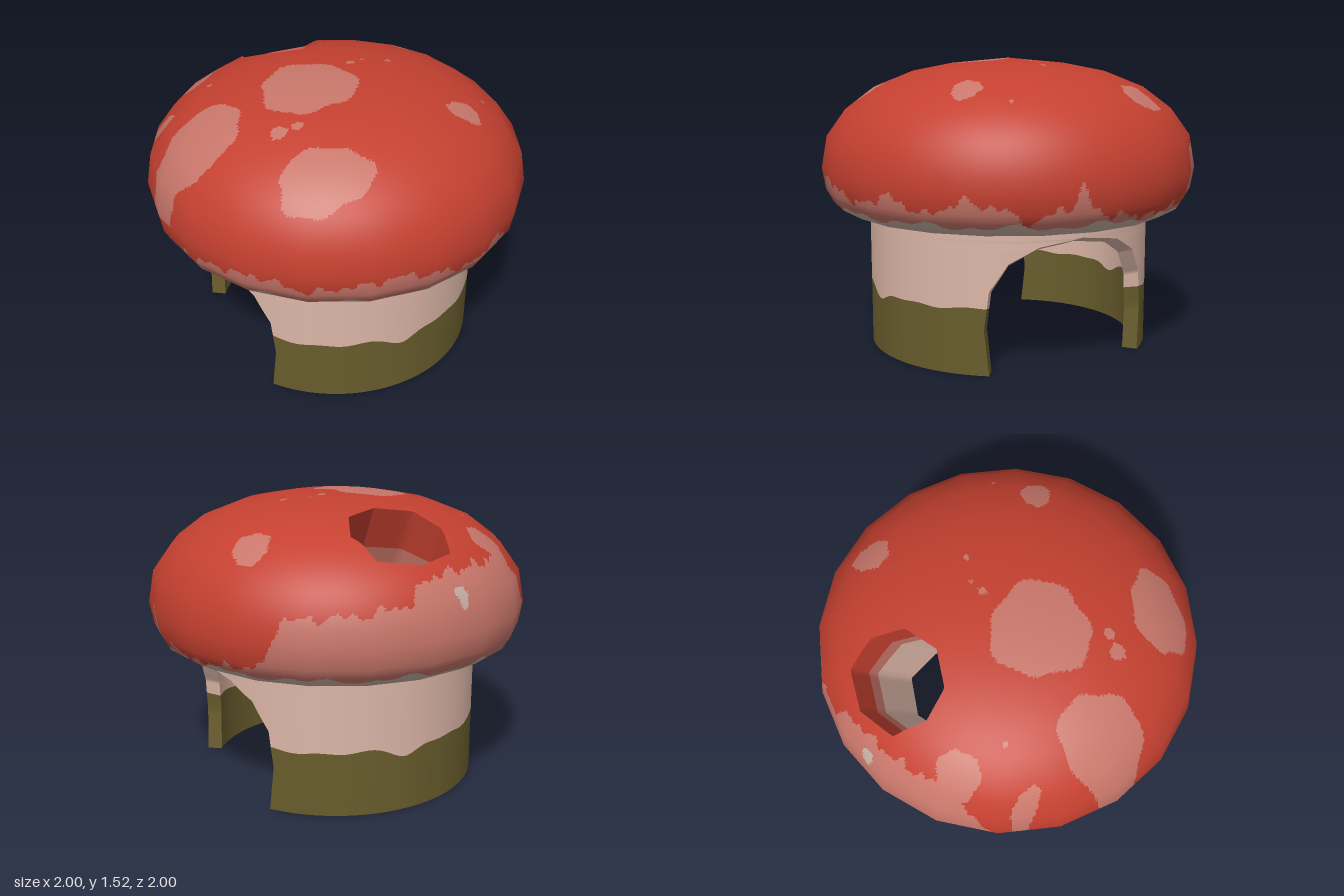
import * as THREE from 'three';

const mat = (name, color, side = THREE.FrontSide) => {
  const m = new THREE.MeshStandardMaterial({ color, side });
  m.name = name;
  return m;
};
const red = mat('cap red', 0xc44030, THREE.DoubleSide);
const pink = mat('spot pink', 0xc8766a, THREE.DoubleSide);
const tan = mat('stem tan', 0xdcb6a7, THREE.DoubleSide);
const olive = mat('moss olive', 0x685c2c, THREE.DoubleSide);
const lip = mat('gill beige', 0xc6b0a2, THREE.DoubleSide);

const SIDES = 20, STEP = (Math.PI * 2) / SIDES;
const DEG = Math.PI / 180;

// Piecewise linear lookup in a list of [key, value]
function lerpTable(t, k) {
  if (k <= t[0][0]) return t[0][1];
  for (let i = 1; i < t.length; i++) {
    if (k <= t[i][0]) {
      const f = (k - t[i - 1][0]) / (t[i][0] - t[i - 1][0]);
      return t[i - 1][1] + f * (t[i][1] - t[i - 1][1]);
    }
  }
  return t[t.length - 1][1];
}

// Sheet from a rule (s, t in 0..1) => [x, y, z]
function sheet(name, material, nu, nv, rule) {
  const pos = [], idx = [];
  for (let j = 0; j <= nv; j++) for (let i = 0; i <= nu; i++) pos.push(...rule(i / nu, j / nv));
  for (let j = 0; j < nv; j++) for (let i = 0; i < nu; i++) {
    const a = j * (nu + 1) + i, b = a + 1, c = a + nu + 1, d = c + 1;
    idx.push(a, b, d, a, d, c);
  }
  const g = new THREE.BufferGeometry();
  g.setAttribute('position', new THREE.Float32BufferAttribute(pos, 3));
  g.setIndex(idx);
  g.computeVertexNormals();
  const m = new THREE.Mesh(g, material);
  m.name = name;
  return m;
}

// ---- cap outline [radius, height] ----
const PROFILE = [[0.85, 0.715], [0.94, 0.765], [0.98, 0.835], [1, 0.95], [0.97, 1.118],
  [0.87, 1.257], [0.72, 1.37], [0.52, 1.45], [0.305, 1.492], [0, 1.52]];
const NORMALS = PROFILE.map((p, i) => {
  const a = PROFILE[Math.max(i - 1, 0)], b = PROFILE[Math.min(i + 1, PROFILE.length - 1)];
  const l = Math.hypot(b[0] - a[0], b[1] - a[1]);
  return i === PROFILE.length - 1 ? [0, 1] : [(b[1] - a[1]) / l, (a[0] - b[0]) / l];
});
// How far a flat side lies inside the circle at angle a
const facet = a => {
  const d = ((a % STEP) + STEP) % STEP - STEP / 2;
  return Math.cos(STEP / 2) / Math.cos(d);
};
const TOP = PROFILE.slice(3).reverse();
const capHeight = (x, z) => lerpTable(TOP, Math.hypot(x, z) / facet(Math.atan2(x, z)));

// ---- chimney hole, seen from above ----
const HOLE_Z = -0.62;
const HOLE = [[0, -0.4], [0.18, -0.47], [0.25, -0.62], [0.2, -0.785], [0, -0.85],
  [-0.2, -0.785], [-0.25, -0.62], [-0.18, -0.47]];
function holeRadius(a) {
  const dx = Math.sin(a), dz = Math.cos(a);
  for (let i = 0; i < HOLE.length; i++) {
    const p = HOLE[i], q = HOLE[(i + 1) % HOLE.length];
    const px = p[0], pz = p[1] - HOLE_Z, ex = q[0] - px, ez = q[1] - p[1];
    const den = dx * ez - dz * ex;
    const r = (px * ez - pz * ex) / den, s = (px * dz - pz * dx) / den;
    if (r > 0 && s >= -1e-6 && s <= 1 + 1e-6) return r;
  }
  return 0.24;
}
const holePoint = a => [Math.sin(a) * holeRadius(a), HOLE_Z + Math.cos(a) * holeRadius(a)];
const holeFloor = z => -0.58 + (z + 0.85) * 1.24;

// ---- cap paint rules ----
// Upper limit of the pale rim band: [degrees from the front, height]
const BAND = [[-90, 0.8], [-60, 0.88], [-50, 0.9], [-35, 0.85], [-12, 0.92], [0, 0.89], [12, 0.83],
  [27, 0.9], [37, 0.82], [50, 0.9], [60, 0.86], [67, 0.78], [73, 0.84], [79, 0.87], [81, 0.98],
  [84, 0.87], [88, 0.82], [107, 0.78], [120, 0.8], [132, 0.83], [137, 1.06], [160, 1.09], [172, 1.12],
  [180, 1.22], [200, 1.24], [219, 1.23], [228, 1.08], [236, 0.82], [250, 0.8], [270, 0.8]];
// Spots from above: x, z, half width, half depth, turn
const SPOTS = [[-0.19, 0.06, 0.24, 0.24, 0], [-0.39, 0.64, 0.22, 0.14, 0.3], [-0.53, -0.63, 0.11, 0.105, 0],
  [-0.815, -0.43, 0.05, 0.1, -0.4], [-0.78, 0.03, 0.23, 0.2, 0.1], [0.655, -0.39, 0.085, 0.1, 0],
  [0.465, 0.48, 0.085, 0.075, 0.6], [-0.47, 0.32, 0.04, 0.04, 0], [-0.38, 0.335, 0.028, 0.025, 0],
  [0.12, -0.065, 0.022, 0.02, 0], [0.19, -0.08, 0.012, 0.012, 0], [0.32, -0.03, 0.014, 0.014, 0],
  [-0.55, -0.37, 0.014, 0.014, 0], [0.67, 0.35, 0.012, 0.012, 0]];
function capColour(x, y, z) {
  const a = Math.atan2(x, z);
  let deg = a / DEG;
  if (deg < -90) deg += 360;
  if (y < 0.768 + 0.012 * Math.sin(a * 13) + 0.01 * Math.sin(a * 29 + 1)) return 2;
  if (Math.hypot(x + 0.17, (z + 0.93) * 1.6) < 0.036 && y > 0.95) return 2;
  const rough = 0.014 * Math.sin(a * 31) + 0.012 * Math.sin(a * 57 + 2) + 0.008 * Math.sin(a * 97);
  if (y < lerpTable(BAND, deg) + rough) return 1;
  if (y < 0.93) return 0;
  for (const [i, [sx, sz, w, d, turn]] of SPOTS.entries()) {
    const c = Math.cos(turn), s = Math.sin(turn);
    const u = ((x - sx) * c + (z - sz) * s) / w, v = ((z - sz) * c - (x - sx) * s) / d;
    const f = Math.atan2(v, u);
    if (Math.hypot(u, v) < 1 + 0.06 * Math.sin(3 * f + i) + 0.04 * Math.sin(7 * f + 2 * i)) return 1;
  }
  return 0;
}

// Cap skin: a fine lathe whose faces are sorted by colour, opened at the hole
function buildCap() {
  const NU = 360, SUB = 12, NV = (PROFILE.length - 1) * SUB;
  const verts = [];
  for (let j = 0; j <= NV; j++) for (let i = 0; i <= NU; i++) {
    const k = Math.min(Math.floor(j / SUB), PROFILE.length - 2), f = j / SUB - k;
    const mix = (t, n) => t[k][n] * (1 - f) + t[k + 1][n] * f;
    const a = (i / NU) * Math.PI * 2, r = mix(PROFILE, 0) * facet(a);
    let x = Math.sin(a) * r, y = mix(PROFILE, 1), z = Math.cos(a) * r, rim = false;
    const ha = Math.atan2(x, z - HOLE_Z);
    if (y > 1 && Math.hypot(x, z - HOLE_Z) <= holeRadius(ha)) {
      [x, z] = holePoint(ha);
      y = capHeight(x, z);
      rim = true;
    }
    const n = new THREE.Vector3(mix(NORMALS, 0) * Math.sin(a), mix(NORMALS, 1), mix(NORMALS, 0) * Math.cos(a));
    verts.push({ p: [x, y, z], n: n.normalize().toArray(), rim });
  }
  const bins = [0, 1, 2].map(() => ({ pos: [], nor: [] }));
  const face = (...t) => {
    const v = t.map(i => verts[i]);
    if (v.every(q => q.rim)) return;
    const mid = [0, 1, 2].map(c => (v[0].p[c] + v[1].p[c] + v[2].p[c]) / 3);
    const bin = bins[capColour(...mid)];
    v.forEach(q => { bin.pos.push(...q.p); bin.nor.push(...q.n); });
  };
  for (let j = 0; j < NV; j++) for (let i = 0; i < NU; i++) {
    const a = j * (NU + 1) + i, c = a + NU + 1;
    face(a, a + 1, c + 1);
    if (j < NV - 1) face(a, c + 1, c);
  }
  const group = new THREE.Group();
  group.name = 'cap';
  [['capSkin', red], ['capSpots', pink], ['capLip', lip]].forEach(([name, material], i) => {
    const g = new THREE.BufferGeometry();
    g.setAttribute('position', new THREE.Float32BufferAttribute(bins[i].pos, 3));
    g.setAttribute('normal', new THREE.Float32BufferAttribute(bins[i].nor, 3));
    const m = new THREE.Mesh(g, material);
    m.name = name;
    group.add(m);
  });

  // Slanted chimney shaft from the cap surface to the ceiling
  [['shaftRim', red, 0, 0.28], ['shaftBand', pink, 0.28, 0.42], ['shaftWall', tan, 0.42, 1]].forEach(([name, m, t0, t1]) =>
    group.add(sheet(name, m, 64, 4, (s, t) => {
      const [x, z] = holePoint(s * Math.PI * 2), k = t0 + (t1 - t0) * t;
      return [x, capHeight(x, z) * (1 - k) + 0.715 * k, z * (1 - k) + holeFloor(z) * k];
    })));

  // Flat underside and ceiling with the shaft opening
  const shape = new THREE.Shape();
  for (let i = 0; i < SIDES; i++) shape[i ? 'lineTo' : 'moveTo'](0.85 * Math.sin(i * STEP), 0.85 * Math.cos(i * STEP));
  shape.holes.push(new THREE.Path(HOLE.map(([x, z]) => new THREE.Vector2(x, holeFloor(z)))));
  const under = new THREE.Mesh(new THREE.ShapeGeometry(shape).rotateX(Math.PI / 2), lip);
  under.position.y = 0.715;
  under.name = 'capUnderside';
  group.add(under);
  return group;
}

// ---- stem: two curved walls that meet above an arch on each side ----
const ARCH = [[0, 0.44], [0.23, 0.46], [0.42, 0.44], [0.56, 0.36], [0.64, 0.22], [0.67, 0]];
const OUTER = 0.75, INNER = 0.67, ARCH_TOP = 0.67, STEM_TOP = 0.72;
const mossLine = a => 0.335 - 0.055 * Math.exp(-((a / 0.14) ** 2)) + 0.008 * Math.sin(a * 5 + 2) + 0.005 * Math.sin(a * 17);

function stemPoint(u, y, inside, turn) {
  const a = u * Math.acos(lerpTable(ARCH, y) / OUTER);
  const r = inside ? INNER : OUTER;
  const h = !inside ? y : y <= ARCH_TOP ? y * 0.955 : STEM_TOP - (STEM_TOP - y) * 1.6;
  return [Math.sin(a + turn) * r, h, Math.cos(a + turn) * r];
}

function buildWall(name, turn) {
  const wall = new THREE.Group();
  wall.name = name;
  const moss = (u, t) => mossLine(u * 1.0) * t;
  const bare = (u, t) => { const b = mossLine(u * 1.0); return b + (ARCH_TOP - b) * t; };
  const crown = (u, t) => ARCH_TOP + (STEM_TOP - ARCH_TOP) * t;
  [['Moss', olive, moss, 12], ['Plaster', tan, bare, 30], ['Crown', tan, crown, 1]].forEach(([part, m, y, rows]) => {
    const add = (suffix, nu, rule) => wall.add(sheet(name + part + suffix, m, nu, rows, rule));
    add('Outside', 80, (s, t) => stemPoint(2 * s - 1, y(2 * s - 1, t), false, turn));
    add('Inside', 80, (s, t) => stemPoint(1 - 2 * s, y(1 - 2 * s, t), true, turn));
    if (part === 'Crown') return;
    for (const u of [1, -1])
      add('ArchEdge', 1, (s, t) => stemPoint(u, y(u, t), u > 0 ? s > 0.5 : s < 0.5, turn));
  });
  wall.add(sheet(name + 'Foot', olive, 80, 1, (s, t) => stemPoint(2 * s - 1, 0, t < 0.5, turn)));
  return wall;
}

export function createModel() {
  const model = new THREE.Group();
  model.name = 'mushroomHouse';
  model.add(buildCap(), buildWall('frontWall', 0), buildWall('backWall', Math.PI));
  return model;
}
